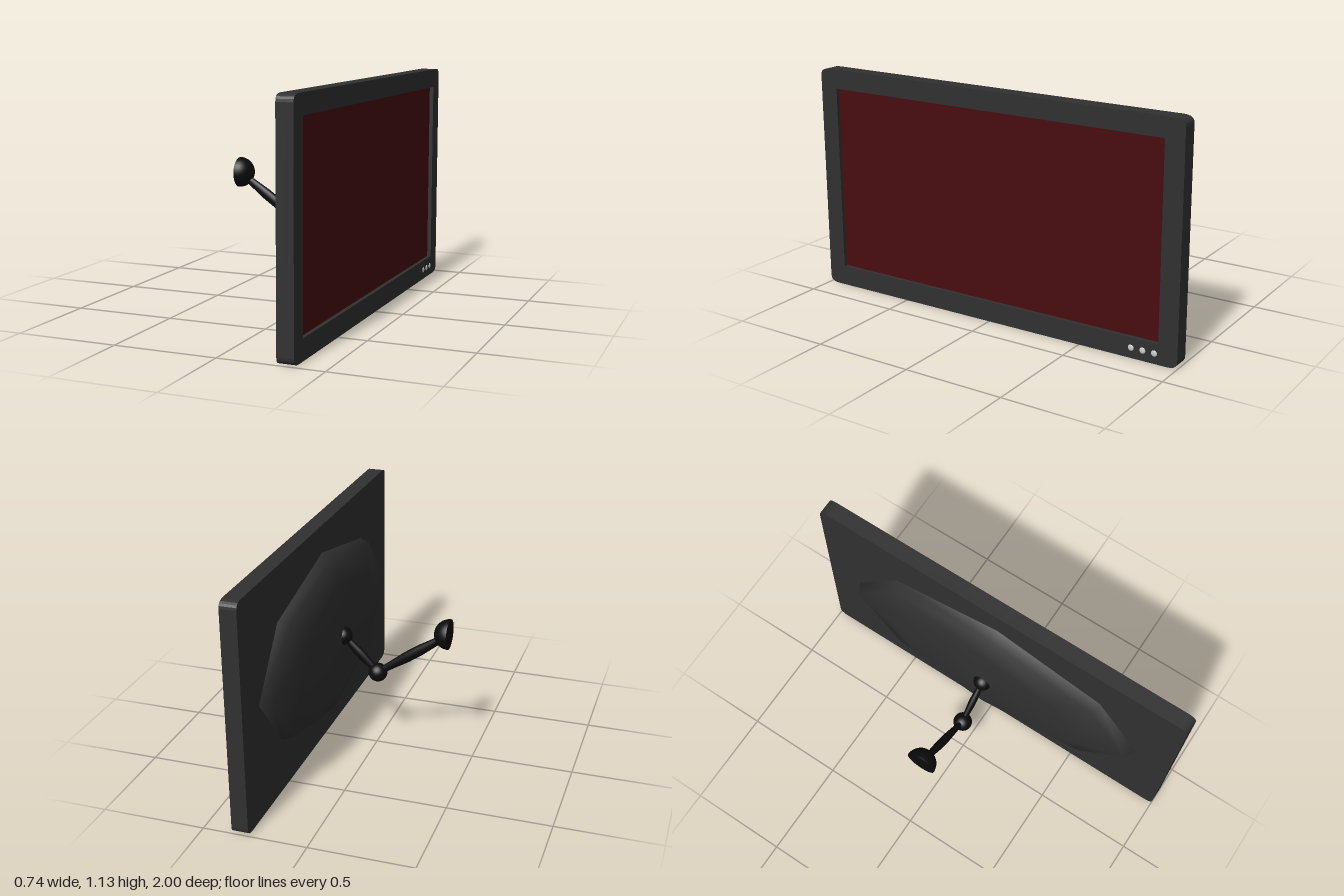
import * as THREE from 'three';

const material = (color) => new THREE.MeshStandardMaterial({ color });

export function createModel() {
  const model = new THREE.Group();
  const casing = material(0x303030);
  const black = material(0x0b0b0b);
  const red = material(0x480c10);
  const grey = material(0xcccccc);

  const add = (name, geometry, mat, x = 0, y = 0, z = 0) => {
    const mesh = new THREE.Mesh(geometry, mat);
    mesh.name = name;
    mesh.position.set(x, y, z);
    model.add(mesh);
    return mesh;
  };

  // Panel outline with slightly rounded corners, drawn across z and y
  const outline = () => {
    const s = new THREE.Shape();
    const w = 1, h = 1.13, rx = 0.05, ry = 0.035;
    s.moveTo(-w + rx, 0);
    s.lineTo(w - rx, 0);
    s.quadraticCurveTo(w, 0, w, ry);
    s.lineTo(w, h - ry);
    s.quadraticCurveTo(w, h, w - rx, h);
    s.lineTo(-w + rx, h);
    s.quadraticCurveTo(-w, h, -w, h - ry);
    s.lineTo(-w, ry);
    s.quadraticCurveTo(-w, 0, -w + rx, 0);
    return s;
  };
  const slab = (shape, depth) =>
    new THREE.ExtrudeGeometry(shape, { depth, bevelEnabled: false, curveSegments: 5 }).rotateY(Math.PI / 2);

  // Back plate, bezel with the screen opening, and the recessed screen
  add('backPlate', slab(outline(), 0.055), casing, 0.28);
  const bezel = outline();
  bezel.holes.push(new THREE.Path([
    new THREE.Vector2(-0.905, 0.1), new THREE.Vector2(-0.905, 1.035),
    new THREE.Vector2(0.905, 1.035), new THREE.Vector2(0.905, 0.1),
  ]));
  add('bezel', slab(bezel, 0.025), casing, 0.335);
  add('screen', new THREE.PlaneGeometry(1.81, 0.935).rotateY(Math.PI / 2), red, 0.34, 0.5675, 0);

  // Three buttons at the lower corner
  for (const z of [-0.77, -0.828, -0.886]) {
    const button = add('button', new THREE.SphereGeometry(0.015, 16, 10), grey, 0.36, 0.05, z);
    button.scale.x = 0.3;
  }

  // Eight-sided domed housing on the back, stretched along z
  const dome = [[0.425, -0.282], [0.407, -0.225], [0.283, -0.18], [0, -0.167]]
    .map(([r, y]) => new THREE.Vector2(r, y));
  add('rearHousing', new THREE.LatheGeometry(dome, 8).scale(1, 1, 1.93).rotateZ(Math.PI / 2), casing, 0, 0.568, 0);

  // Ball joints and the half-dome wall mount
  const wall = new THREE.Vector3(-0.367, 0.648, 0);
  const elbow = new THREE.Vector3(-0.005, 0.393, 0);
  const socket = new THREE.Vector3(0.175, 0.568, 0);
  add('elbowJoint', new THREE.SphereGeometry(0.047, 32, 20), black, ...elbow);
  add('housingJoint', new THREE.SphereGeometry(0.046, 32, 20), black, ...socket);
  add('wallMount', new THREE.SphereGeometry(0.075, 32, 12, 0, Math.PI * 2, 0, Math.PI / 2).rotateZ(-Math.PI / 2), black, ...wall);
  add('wallMountBase', new THREE.CircleGeometry(0.075, 32).rotateY(-Math.PI / 2), black, ...wall);

  // Arms swell in the middle and are flatter along z
  const arm = (name, a, b, mid, end) => {
    const dir = b.clone().sub(a);
    const l = dir.length();
    const profile = [[end, -0.5], [end * 1.08, -0.34], [mid, -0.09], [mid, 0.09], [end * 1.08, 0.34], [end, 0.5]]
      .map(([r, t]) => new THREE.Vector2(r, t * l));
    const mesh = add(name, new THREE.LatheGeometry(profile, 16).scale(1, 1, 0.75), black,
      (a.x + b.x) / 2, (a.y + b.y) / 2, 0);
    mesh.quaternion.setFromUnitVectors(new THREE.Vector3(0, 1, 0), dir.normalize());
  };
  arm('wallArm', elbow, wall, 0.027, 0.018);
  arm('housingArm', elbow, socket, 0.024, 0.017);

  return model;
}
